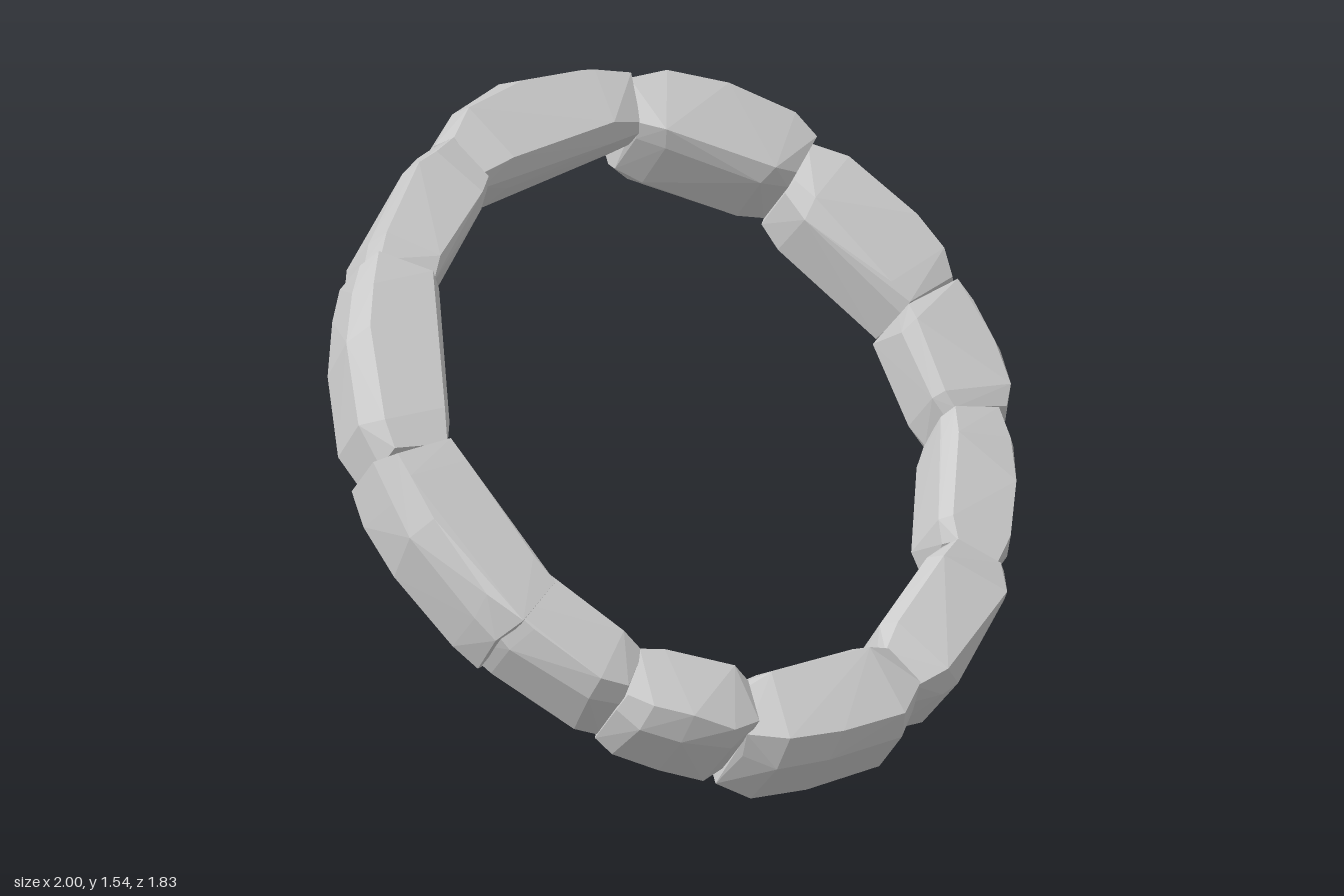
import * as THREE from 'three';
import { ConvexGeometry } from 'three/addons/geometries/ConvexGeometry.js';

// Each stone: start and end angle on the ring (degrees), inner and outer reach
// from the ring's centre line, underside, top, size of its two ends, where along
// its length the outer face bulges, and how far its inner lower edge is cut away
const STONES = [
  [71.5, 109, 0.115, 0.135, -0.14, 0.185, 0.72, 0.68, 0.55, 0.2],
  [109, 137, 0.12, 0.115, -0.14, 0.195, 0.75, 0.85, 0.3, 0.5],
  [137, 172, 0.125, 0.13, -0.13, 0.2, 0.85, 0.75, 0.4, 0.5],
  [172, 206, 0.12, 0.135, -0.12, 0.22, 0.92, 0.95, 0.4, 0],
  [200, 227, 0.12, 0.11, -0.11, 0.21, 0.95, 0.75, 0.3, 0],
  [227, 250, 0.12, 0.13, -0.13, 0.2, 0.72, 0.66, 0.5, 0],
  [249, 284, 0.125, 0.155, -0.19, 0.165, 0.7, 0.62, 0.45, 0],
  [284, 315, 0.13, 0.125, -0.18, 0.14, 0.7, 0.7, 0.3, 0],
  [315, 343, 0.13, 0.1, -0.19, 0.12, 0.72, 0.75, 0.5, 0],
  [343, 366, 0.13, 0.135, -0.19, 0.125, 0.78, 0.85, 0.5, 0],
  [366, 397.5, 0.13, 0.135, -0.18, 0.13, 0.8, 0.72, 0.4, 0],
  [397.5, 431.5, 0.13, 0.13, -0.16, 0.18, 0.72, 0.72, 0.5, 0],
];
const RX = 0.865, RU = 0.935; // centre line, across and along the slope
const TILT = THREE.MathUtils.degToRad(37);

function seeded(seed) {
  let s = seed;
  return () => {
    s = (s * 16807) % 2147483647;
    return s / 2147483647;
  };
}

// Faceted stone: hull of uneven, chamfered sections along its stretch of ring
function stoneGeometry([a0, a1, inner, outer, low, high, end0, end1, bulge, cut], seed) {
  const rand = seeded(seed);
  const jitter = (k) => (rand() - 0.5) * k;
  // Section corners: radial and vertical fractions, outer four first
  const corners = [
    [0.1, -1], [0.92, -0.75], [1, 0.45], [0.75, 1],
    [-0.75, 1], [-1, 0.65], [-1 + 0.9 * cut, -0.6], [-0.65 + 0.9 * cut, -0.9],
  ];
  if (cut > 0) corners.push([-1, 0.2]);
  const points = [];
  const addSection = (t, size, outline) => {
    for (const [r, v] of outline) {
      const angle = THREE.MathUtils.degToRad(a0 + (a1 - a0) * (t + jitter(0.06)));
      const radial = r * size * (r > 0 ? outer : inner) + jitter(0.02);
      const rise = v * (1 + size) / 2;
      const height = (low + high) / 2 + rise * (high - low) / 2 + jitter(0.02);
      points.push(new THREE.Vector3(
        (RX + radial) * Math.cos(angle),
        height,
        -(RU + radial) * Math.sin(angle),
      ));
    }
  };
  addSection(0, end0, corners);
  addSection(0.17, 0.98, corners);
  addSection(bulge, 1, corners.slice(0, 4));
  addSection(0.83, 0.98, corners);
  addSection(1, end1, corners);
  return new ConvexGeometry(points);
}

export function createModel() {
  const model = new THREE.Group();
  model.name = 'stoneRing';
  const material = new THREE.MeshStandardMaterial({ color: 0xcccccc, flatShading: true });

  // Tilted ring of stones, high at the back
  const ring = new THREE.Group();
  ring.name = 'tiltedRing';
  STONES.forEach((stone, i) => {
    const mesh = new THREE.Mesh(stoneGeometry(stone, 7919 * (i + 3)), material);
    mesh.name = `stone${i + 1}`;
    ring.add(mesh);
  });
  ring.rotation.x = TILT;
  model.add(ring);

  // Stand the ring on the ground
  model.updateMatrixWorld(true);
  ring.position.y = -new THREE.Box3().setFromObject(model, true).min.y;
  return model;
}
